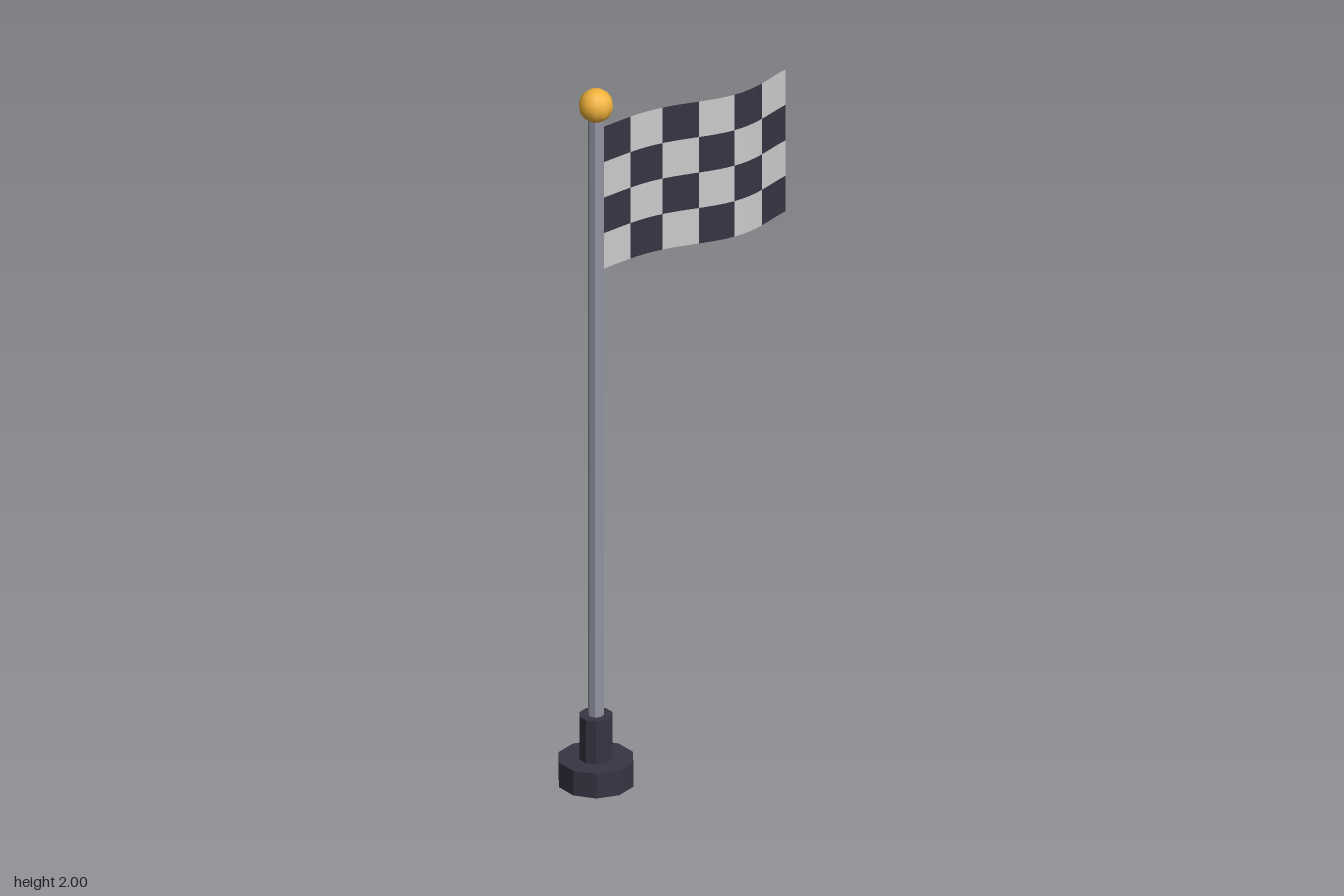
import * as THREE from 'three';
import { mergeGeometries } from 'three/addons/utils/BufferGeometryUtils.js';

const POLE_X = -0.27;
const COLS = 6, ROWS = 4, CELL = 0.1025;
const FLAG_LEFT = -0.25, FLAG_TOP = 1.885, SAG = 0.018;

// Depth of the cloth along its length, t from 0 at the pole to 1 at the free end
const wave = (t) => -(0.01 + 0.025 * t) * Math.sin(7.2 * t);

// One square of the flag, bent along the wave
function flagCell(col, row) {
  const geo = new THREE.PlaneGeometry(CELL, CELL, 4, 1);
  geo.translate(FLAG_LEFT + (col + 0.5) * CELL, FLAG_TOP - (row + 0.5) * CELL, 0);
  const pos = geo.attributes.position, nor = geo.attributes.normal;
  const n = new THREE.Vector3(), length = COLS * CELL, e = 0.001;
  for (let i = 0; i < pos.count; i++) {
    const t = (pos.getX(i) - FLAG_LEFT) / length;
    pos.setY(i, pos.getY(i) - SAG * t);
    pos.setZ(i, wave(t));
    const slope = (wave(t + e) - wave(t - e)) / (2 * e * length);
    n.set(-slope, 0, 1).normalize();
    nor.setXYZ(i, n.x, n.y, n.z);
  }
  return geo;
}

export function createModel() {
  const model = new THREE.Group();
  model.name = 'checkeredFlag';

  const dark = new THREE.MeshStandardMaterial({ color: 0x383444, flatShading: true });
  const metal = new THREE.MeshStandardMaterial({ color: 0x9496a3, flatShading: true });
  const gold = new THREE.MeshStandardMaterial({ color: 0xf2b33d });
  const lightCloth = new THREE.MeshStandardMaterial({ color: 0xcccccc, side: THREE.DoubleSide });
  const darkCloth = new THREE.MeshStandardMaterial({ color: 0x383444, side: THREE.DoubleSide });

  const add = (name, geo, mat) => {
    const mesh = new THREE.Mesh(geo, mat);
    mesh.name = name;
    model.add(mesh);
    return mesh;
  };

  // Stand and pole
  const post = (name, radius, y0, y1, sides, mat) =>
    add(name, new THREE.CylinderGeometry(radius, radius, y1 - y0, sides), mat)
      .position.set(POLE_X, (y0 + y1) / 2, 0);
  post('base', 0.102, 0, 0.071, 10, dark);
  post('collar', 0.045, 0.071, 0.195, 10, dark);
  post('pole', 0.021, 0.195, 1.93, 8, metal);

  // Ball on top
  const ball = add('finial', new THREE.SphereGeometry(0.046, 10, 8), gold);
  ball.rotation.y = Math.PI / 2;
  ball.position.set(POLE_X, 1.954, 0);

  // Checkered cloth
  const cells = [[], []];
  for (let row = 0; row < ROWS; row++)
    for (let col = 0; col < COLS; col++)
      cells[(row + col) % 2].push(flagCell(col, row));
  add('darkFlagSquares', mergeGeometries(cells[0]), darkCloth);
  add('lightFlagSquares', mergeGeometries(cells[1]), lightCloth);

  return model;
}
